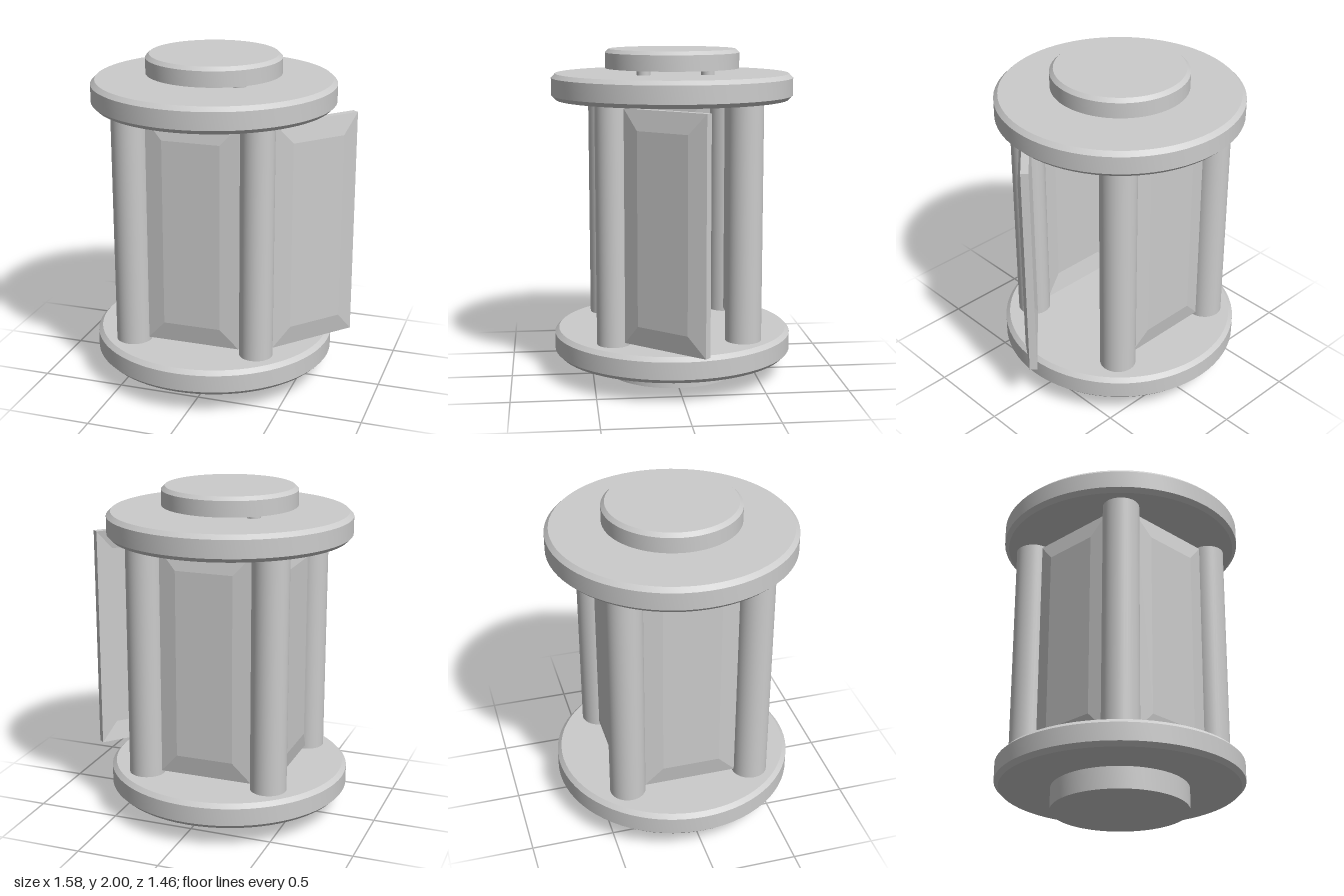
import * as THREE from 'three';
import { toCreasedNormals } from 'three/addons/utils/BufferGeometryUtils.js';

const material = new THREE.MeshStandardMaterial({ color: 0xcccccc });
const CORNER = 0.387; // pillar distance from the axis along x and z

function add(parent, name, geometry, x = 0, y = 0, z = 0) {
  const mesh = new THREE.Mesh(geometry, material);
  mesh.name = name;
  mesh.position.set(x, y, z);
  parent.add(mesh);
  return mesh;
}

// Round plate with optional chamfers on its lower and upper rims
function plate(radius, y0, y1, lower, upper) {
  const profile = [[0, y0], [radius - lower, y0]];
  if (lower) profile.push([radius, y0 + lower]);
  profile.push([radius, y1 - upper]);
  if (upper) profile.push([radius - upper, y1]);
  profile.push([0, y1]);
  const points = profile.map(([x, y]) => new THREE.Vector2(x, y));
  return toCreasedNormals(new THREE.LatheGeometry(points, 72), 0.5);
}

// Pressed panel: raised field outside, matching recess inside, facing +z
function pressedPanel(halfW, halfH, thickness, raise) {
  const t = thickness / 2, bx = 0.11, by = 0.12;
  const rings = [
    [halfW - bx, halfH - by, -t + raise],
    [halfW, halfH, -t],
    [halfW, halfH, t],
    [halfW - bx, halfH - by, t + raise],
  ].map(([w, h, z]) => [[-w, -h, z], [w, -h, z], [w, h, z], [-w, h, z]]);
  const positions = [];
  const quad = (a, b, c, d) => positions.push(...a, ...b, ...c, ...a, ...c, ...d);
  for (let r = 0; r < 3; r++) {
    for (let i = 0; i < 4; i++) {
      const j = (i + 1) % 4;
      quad(rings[r][i], rings[r][j], rings[r + 1][j], rings[r + 1][i]);
    }
  }
  quad(...rings[3]);
  quad(...[...rings[0]].reverse());
  const geometry = new THREE.BufferGeometry();
  geometry.setAttribute('position', new THREE.Float32BufferAttribute(positions, 3));
  geometry.computeVertexNormals();
  return geometry;
}

export function createModel() {
  const model = new THREE.Group();
  model.name = 'lantern';
  const body = new THREE.Group();
  body.name = 'body';
  body.position.x = -0.06; // the open door shifts the body off centre
  model.add(body);

  // Base, the two large plates and the cap
  add(body, 'base', plate(0.405, 0, 0.135, 0, 0));
  add(body, 'lowerPlate', plate(0.73, 0.13, 0.285, 0.025, 0.025));
  add(body, 'upperPlate', plate(0.73, 1.7, 1.855, 0.025, 0.025));
  add(body, 'cap', plate(0.405, 1.885, 2, 0, 0.022));

  // Corner pillars (the hinge pillar is slimmer) and small posts under the cap
  for (const sx of [-1, 1]) {
    for (const sz of [-1, 1]) {
      const hinge = sx > 0 && sz > 0;
      const radius = hinge ? 0.1 : 0.108;
      add(body, hinge ? 'hingePillar' : 'pillar',
        new THREE.CylinderGeometry(radius, radius, 1.43, 40), sx * CORNER, 0.9925, sz * CORNER);
      add(body, 'capPost', new THREE.CylinderGeometry(0.04, 0.04, 0.05, 24), sx * 0.215, 1.87, sz * 0.19);
    }
  }

  // Fixed panels on three sides
  const panel = pressedPanel(0.285, 0.688, 0.045, 0.022);
  const sides = [['frontPanel', 0], ['backPanel', Math.PI], ['sidePanel', -Math.PI / 2]];
  for (const [name, angle] of sides) {
    add(body, name, panel, Math.sin(angle) * CORNER, 0.9975, Math.cos(angle) * CORNER).rotation.y = angle;
  }

  // Door swung open about its hinge pillar
  const door = new THREE.Group();
  door.name = 'door';
  door.position.set(CORNER, 0.9975, CORNER);
  door.rotation.y = 0.849;
  add(door, 'doorPanel', panel, CORNER);
  body.add(door);

  return model;
}
